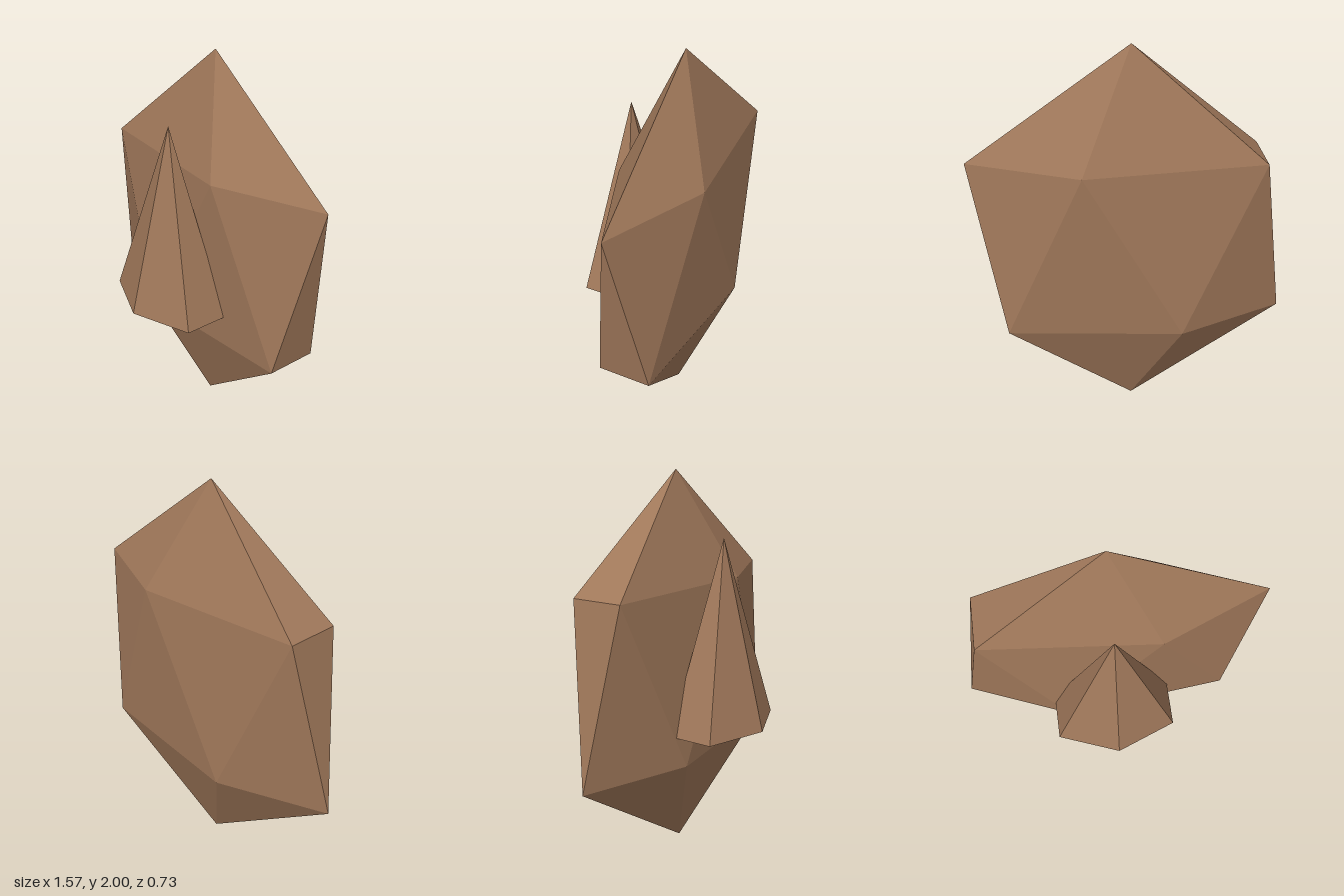
import * as THREE from 'three';
import { ConvexGeometry } from 'three/addons/geometries/ConvexGeometry.js';

export function createModel() {
  const model = new THREE.Group();
  const clay = new THREE.MeshStandardMaterial({ color: 0xa0785a });
  clay.name = 'clay brown';
  clay.flatShading = true;

  // Head: flattened icosahedron standing on one pole
  const points = [new THREE.Vector3(0, 1, 0), new THREE.Vector3(0, -1, 0)];
  for (let i = 0; i < 10; i++) {
    const a = (i * Math.PI) / 5;
    const y = (i % 2 ? -1 : 1) / Math.sqrt(5);
    points.push(new THREE.Vector3(0.785 * Math.cos(a), y, 0.23 * Math.sin(a)));
  }
  const head = new THREE.Mesh(new ConvexGeometry(points), clay);
  head.name = 'head';
  head.position.set(0, 1, -0.15);
  model.add(head);

  // Nose: six-sided cone, squashed in depth
  const nose = new THREE.Mesh(new THREE.ConeGeometry(1, 0.957, 6), clay);
  nose.name = 'nose';
  nose.scale.set(0.357, 1, 0.236);
  nose.position.set(0, 1.203, 0.13);
  model.add(nose);

  return model;
}
